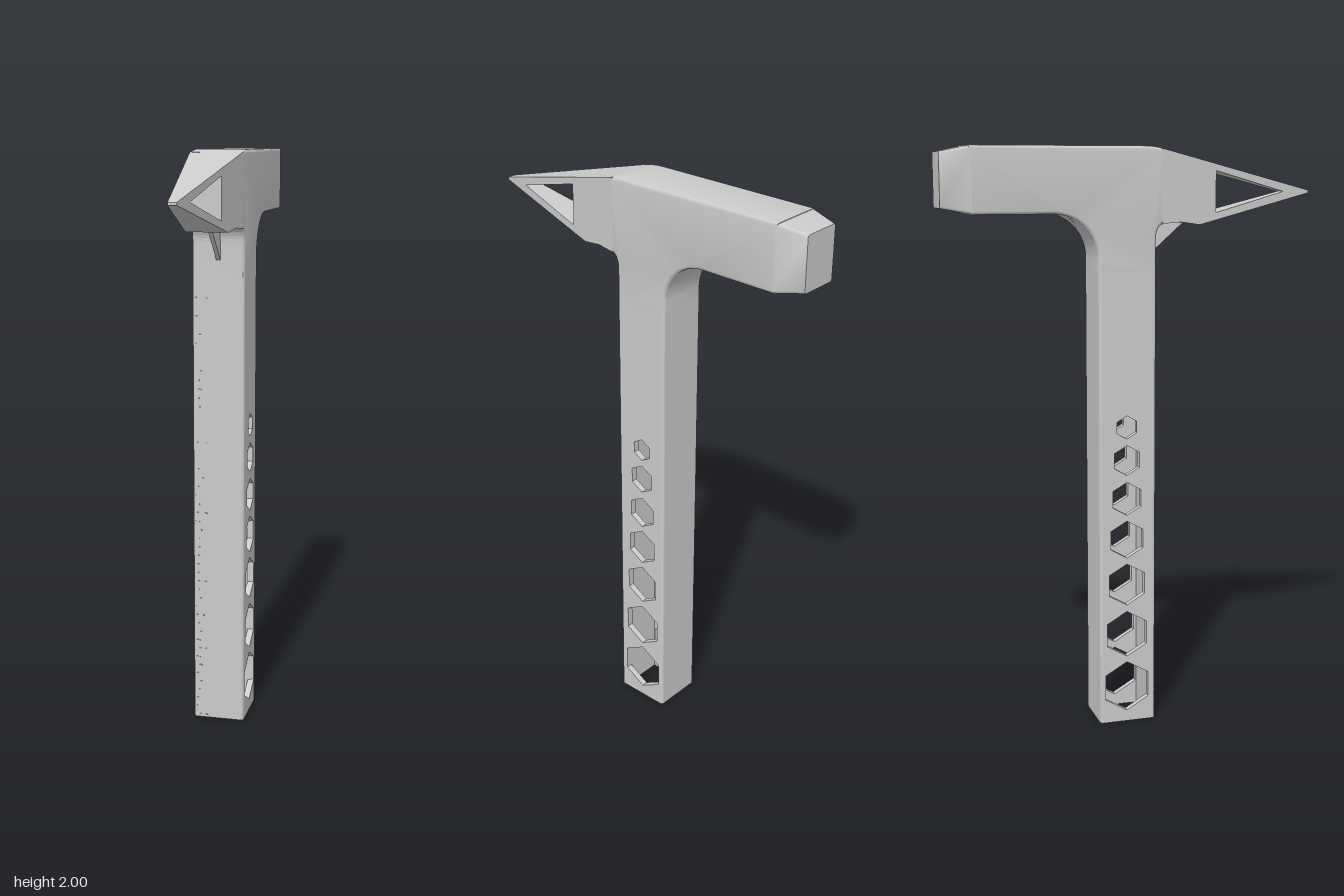
import * as THREE from 'three';
import { toCreasedNormals } from 'three/addons/utils/BufferGeometryUtils.js';

const W = 0.09;             // half width of head and handle
const BACK = -0.13, FRONT = 0.07, MID = -0.03; // handle extent along z
const WALL = 0.022, R = 0.01, TOP = 1.6;
const grey = new THREE.MeshStandardMaterial({ color: 0xcccccc });

const polygon = (points, Type = THREE.Shape) =>
  new Type(points.map(([a, b]) => new THREE.Vector2(a, b)));

// Extrudes a side profile drawn in (z, y) across x, centred on x = 0
function slab(shape, width, bevel = 0) {
  const geo = new THREE.ExtrudeGeometry(shape, {
    depth: width - 2 * bevel, curveSegments: 16, bevelEnabled: bevel > 0,
    bevelSize: bevel, bevelThickness: bevel, bevelOffset: -bevel, bevelSegments: 3,
  });
  geo.translate(0, 0, bevel - width / 2);
  geo.rotateY(-Math.PI / 2);
  return geo;
}

// Moves every vertex by a rule
function warp(geo, rule) {
  const p = geo.attributes.position, v = new THREE.Vector3();
  for (let i = 0; i < p.count; i++) {
    rule(v.fromBufferAttribute(p, i));
    p.setXYZ(i, v.x, v.y, v.z);
  }
  return geo;
}

export function createModel() {
  const model = new THREE.Group();
  const add = (name, geo, x = 0, y = 0, z = 0, parent = model) => {
    const mesh = new THREE.Mesh(toCreasedNormals(geo, 0.55), grey);
    mesh.name = name;
    mesh.position.set(x, y, z);
    parent.add(mesh);
    return mesh;
  };

  // Head body with the fillets running down into the handle
  const body = new THREE.Shape();
  body.moveTo(FRONT, TOP - 0.02);
  body.lineTo(FRONT, 1.69);
  body.quadraticCurveTo(FRONT, 1.74, 0.1, 1.745);
  body.lineTo(0.1, 1.99);
  body.quadraticCurveTo(0.07, 2, 0.03, 2);
  body.lineTo(-0.56, 2);
  body.lineTo(-0.56, 1.78);
  body.lineTo(-0.28, 1.78);
  body.absarc(-0.28, 1.63, 0.15, Math.PI / 2, 0, true);
  body.lineTo(BACK, TOP - 0.02);
  add('headBody', slab(body, 2 * W, R));

  // Tapered striking end
  const face = new THREE.Shape();
  const h = 0.11, a = W - R, b = h - R;
  face.absarc(a, b, R, 0, Math.PI / 2);
  face.absarc(-a, b, R, Math.PI / 2, Math.PI);
  face.absarc(-a, -b, R, Math.PI, Math.PI * 1.5);
  face.absarc(a, -b, R, Math.PI * 1.5, Math.PI * 2);
  const end = new THREE.ExtrudeGeometry(face, { depth: 0.1, bevelEnabled: false, curveSegments: 4 });
  warp(end, v => {
    if (v.z < 0.05) { v.x *= 0.067 / W; v.y *= 0.09 / h; }
  });
  add('strikingEnd', end, 0, 1.89, -0.65);

  // Pick, narrowing to its tip, with a triangular window
  const pick = polygon([[0.09, 1.745], [0.16, 1.75], [0.23, 1.74], [0.65, 1.844],
    [0.65, 1.853], [0.12, 1.985], [0.09, 1.992]]);
  pick.holes.push(polygon([[0.29, 1.92], [0.29, 1.78], [0.55, 1.849]], THREE.Path));
  add('pick', warp(slab(pick, 2), v => {
    v.x *= THREE.MathUtils.mapLinear(v.z, 0.09, 0.65, W, 0.014);
  }));

  // Thin gusset under the pick
  add('gusset', slab(polygon([[0.06, 1.63], [0.19, 1.745], [0.06, 1.76]]), 0.014));

  // Hollow handle: side walls with hexagonal holes of shrinking size
  const handle = new THREE.Group();
  handle.name = 'handle';
  model.add(handle);
  const side = polygon([[BACK + R, 0], [FRONT - R, 0], [FRONT - R, TOP], [BACK + R, TOP]]);
  const hexes = [[0.13, 0.09], [0.323, 0.082], [0.503, 0.074], [0.665, 0.066],
    [0.81, 0.058], [0.945, 0.052], [1.06, 0.04]];
  for (const [y, r] of hexes) {
    const corners = [];
    for (let i = 0; i < 6; i++) {
      const t = Math.PI / 2 + i * Math.PI / 3;
      corners.push([MID - 0.003 + r * Math.cos(t), y + r * Math.sin(t)]);
    }
    side.holes.push(polygon(corners, THREE.Path));
  }
  for (const s of [-1, 1]) {
    add('handleSideWall', slab(side, WALL), s * (W - WALL / 2), 0, 0, handle);
    add('handleEndWall', new THREE.BoxGeometry(2 * (W - R), TOP, WALL),
      0, TOP / 2, MID + s * (0.1 - WALL / 2), handle);
    // Rounded vertical edges
    for (const t of [-1, 1])
      add('handleEdge', new THREE.CylinderGeometry(R, R, TOP, 16),
        s * (W - R), TOP / 2, MID + t * (0.1 - R), handle);
  }

  // Ruler marks along the front edge of the handle
  const ruler = new THREE.Group();
  ruler.name = 'rulerMarks';
  model.add(ruler);
  for (let i = 0; i <= 48; i++) {
    const len = i % 8 === 0 ? 0.04 : i % 4 === 0 ? 0.028 : i % 2 === 0 ? 0.02 : 0.013;
    add('rulerMark', new THREE.BoxGeometry(len, 0.004, 0.003),
      -W + R + len / 2, 0.01 + i * 0.25 / 8, FRONT, ruler);
  }
  return model;
}
